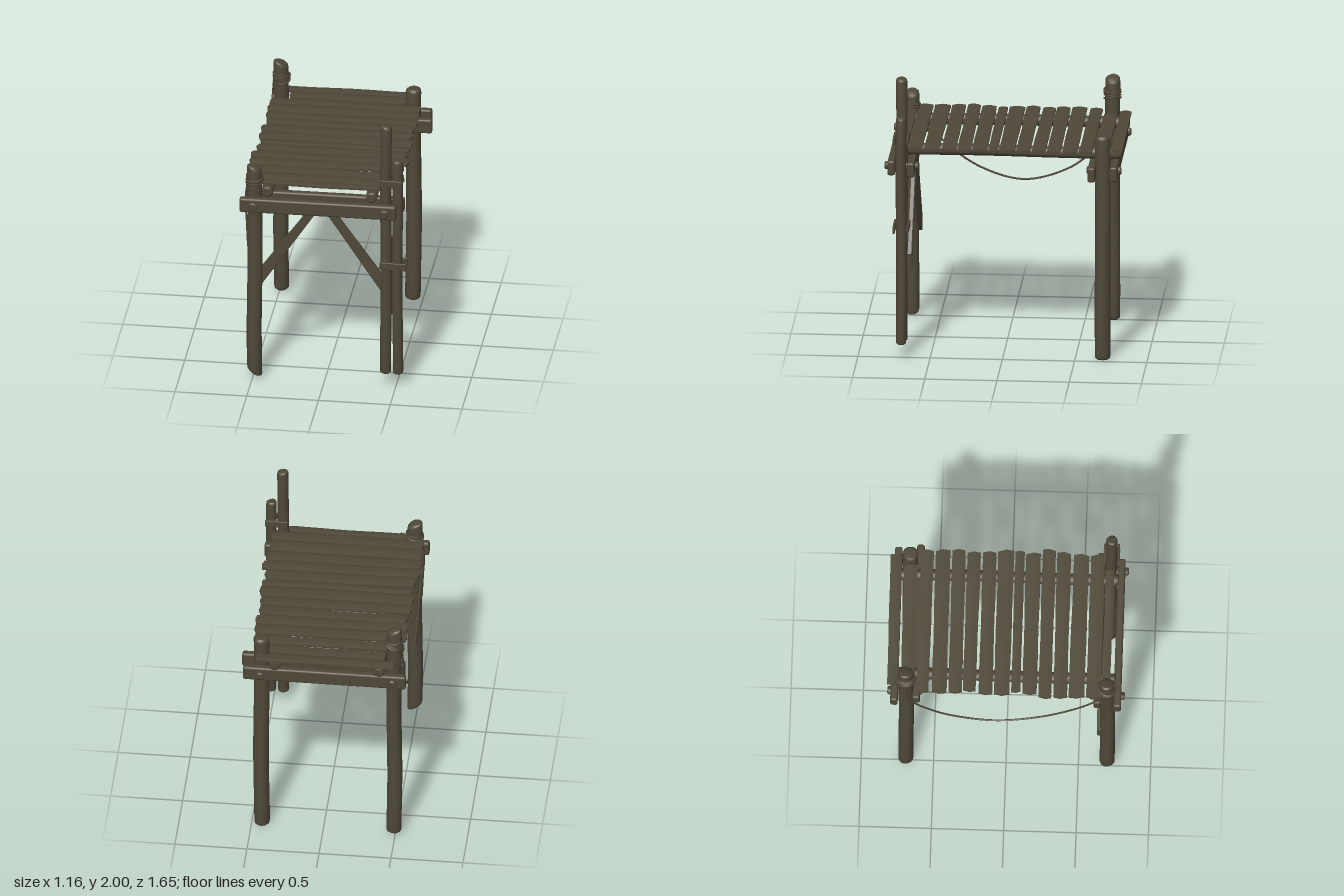
import * as THREE from 'three';
import { mergeVertices, toCreasedNormals } from 'three/addons/utils/BufferGeometryUtils.js';
import { RoundedBoxGeometry } from 'three/addons/geometries/RoundedBoxGeometry.js';

export function createModel() {
  const model = new THREE.Group();
  model.name = 'woodenPlatform';
  const wood = new THREE.MeshStandardMaterial({ color: 0x4f4839 });
  wood.name = 'weatheredWood';

  let seed = 7;
  const jitter = (a) => {
    seed = (seed * 16807) % 2147483647;
    return (seed / 2147483647 - 0.5) * 2 * a;
  };

  const add = (name, geometry, parent = model) => {
    const mesh = new THREE.Mesh(geometry, wood);
    mesh.name = name;
    parent.add(mesh);
    return mesh;
  };

  const group = (name) => {
    const g = new THREE.Group();
    g.name = name;
    model.add(g);
    return g;
  };

  const reshape = (geometry, rule, crease) => {
    geometry.deleteAttribute('uv');
    geometry.deleteAttribute('normal');
    const merged = mergeVertices(geometry, 1e-5);
    const p = merged.attributes.position;
    const v = new THREE.Vector3();
    for (let i = 0; i < p.count; i++) {
      v.fromBufferAttribute(p, i);
      rule(v);
      p.setXYZ(i, v.x, v.y, v.z);
    }
    return toCreasedNormals(merged, crease);
  };

  // Upright log with softened ends, a slight wander and optional slanted cuts
  const logGeometry = (r, h, topCut = 0, bottomCut = 0) => {
    const pts = [[0, 0], [r * 0.72, 0], [r * 0.95, r * 0.2], [r, r * 0.5]];
    for (let i = 1; i < 8; i++) pts.push([r, (h * i) / 8]);
    pts.push([r, h - r * 0.5], [r * 0.95, h - r * 0.2], [r * 0.72, h], [0, h]);
    const phase = jitter(3);
    return reshape(new THREE.LatheGeometry(pts.map(([x, y]) => new THREE.Vector2(x, y)), 18), (v) => {
      const y = v.y;
      const a = Math.atan2(v.z, v.x);
      const k = 1 + 0.03 * Math.sin(3 * a + y * 4 + phase);
      const side = v.x / r;
      if (y > h - r) v.y -= topCut * (side + 1) / 2;
      if (y < r) v.y += bottomCut * (1 - side) / 2;
      v.x = v.x * k + 0.003 * Math.sin(y * 5 + phase);
      v.z = v.z * k + 0.003 * Math.cos(y * 4 + phase);
    }, 0.7);
  };

  // Posts: x, z, radius, bottom, top, top cut, bottom cut
  [
    ['frontRightPost', -0.485, 0.70, 0.052, 0.01, 1.64, 0.03, 0.06],
    ['backRightPost', -0.49, -0.69, 0.052, 0.01, 1.77, 0.035, 0],
    ['backLeftPost', 0.432, -0.69, 0.054, 0, 1.61, 0, 0],
    ['frontLeftTallPole', 0.43, 0.70, 0.039, 0.1, 2, 0.01, 0],
    ['frontLeftShortPole', 0.51, 0.70, 0.036, 0.1, 1.735, 0.005, 0],
  ].forEach(([name, x, z, r, y0, y1, top, bottom]) => {
    add(name, logGeometry(r, y1 - y0, top, bottom)).position.set(x, y0, z);
  });

  // Round stringers under the deck
  [-0.395, 0.333].forEach((x) => {
    const s = add('deckStringer', logGeometry(0.04, 1.57));
    s.rotation.x = Math.PI / 2;
    s.position.set(x, 1.458, -0.815);
  });

  // Paired crossbeams clamping the posts: x start, x end, z
  [
    [-0.58, 0.51, 0.77],
    [-0.56, 0.55, 0.632],
    [-0.56, 0.572, -0.62],
    [-0.58, 0.55, -0.772],
  ].forEach(([x0, x1, z]) => {
    const beam = add('crossbeam', new RoundedBoxGeometry(x1 - x0, 0.105, 0.052, 2, 0.014));
    beam.position.set((x0 + x1) / 2, 1.363, z);
    beam.rotation.z = jitter(0.006);
  });

  // Through bolts with rounded heads
  for (const end of [1, -1]) {
    for (const x of [-0.485, 0.432]) {
      const bolt = add('beamBolt', logGeometry(0.029, 0.24));
      bolt.rotation.x = Math.PI / 2;
      bolt.position.set(x, 1.363, end > 0 ? 0.58 : -0.82);
    }
  }

  // Deck planks: z start, z end, x start, x end
  const deck = group('deck');
  [
    [-0.825, -0.745, -0.50, 0.46], [-0.73, -0.635, -0.43, 0.385],
    [-0.62, -0.53, -0.55, 0.50], [-0.515, -0.41, -0.555, 0.505],
    [-0.40, -0.305, -0.55, 0.51], [-0.298, -0.205, -0.535, 0.495],
    [-0.19, -0.093, -0.555, 0.50], [-0.085, 0.027, -0.555, 0.515],
    [0.035, 0.10, -0.53, 0.51], [0.11, 0.213, -0.545, 0.50],
    [0.223, 0.315, -0.57, 0.53], [0.325, 0.423, -0.565, 0.51],
    [0.435, 0.545, -0.56, 0.50], [0.555, 0.655, -0.56, 0.50],
    [0.66, 0.72, -0.43, 0.39],
  ].forEach(([z0, z1, x0, x1]) => {
    const w = z1 - z0;
    const len = x1 - x0;
    const phase = jitter(3);
    const skew = [jitter(0.12), jitter(0.12)];
    const taper = jitter(0.06);
    const geometry = reshape(new THREE.BoxGeometry(len, 0.018, w, 8, 1, 4), (v) => {
      const u = v.x / len;
      const t = v.z / w;
      if (Math.abs(u) > 0.49) {
        v.x += skew[u > 0 ? 1 : 0] * v.z - Math.sign(u) * 0.05 * w * (1 - Math.cos(t * 7));
      }
      v.z *= 0.97 + taper * u + 0.025 * Math.sin(u * 11 + phase);
      if (v.y > 0) v.y -= 0.02 * t * t;
      v.y += 0.002 * Math.sin(u * 8 + phase);
    }, 0.6);
    const plank = add('deckPlank', geometry, deck);
    plank.position.set((x0 + x1) / 2, 1.504, (z0 + z1) / 2);
    plank.rotation.set(jitter(0.03), jitter(0.006), jitter(0.003));
  });

  // Diagonal front braces with angled lower ends
  for (const side of [-1, 1]) {
    const outline = new THREE.Shape();
    [[0.0, 1.33], [0.055, 1.33], [0.482, 0.735], [0.475, 0.62], [0.45, 0.655]]
      .forEach(([x, y], i) => (i ? outline.lineTo(side * x, y) : outline.moveTo(side * x, y)));
    const brace = add('diagonalBrace', new THREE.ExtrudeGeometry(outline, {
      depth: 0.024, bevelThickness: 0.006, bevelSize: 0.004, bevelSegments: 1,
    }));
    brace.position.set(-0.027, 0, 0.634);
  }

  // Cleats clamping the two front poles together
  for (const [y, x0, x1] of [[1.57, 0.395, 0.55], [0.938, 0.39, 0.575]]) {
    for (const z of [0.653, 0.748]) {
      const cleat = add('poleCleat', new RoundedBoxGeometry(x1 - x0, 0.052, 0.016, 1, 0.004));
      cleat.position.set((x0 + x1) / 2, y, z);
      cleat.rotation.z = z < 0.7 ? 0.03 : -0.02;
      for (const x of [0.43, 0.51]) {
        const nail = add('cleatNail', new THREE.CylinderGeometry(0.007, 0.007, 0.022, 8));
        nail.rotation.x = Math.PI / 2;
        nail.position.set(x, y, z);
      }
    }
  }

  // Rope lashings around the two right-hand posts
  const lash = (x, y, z, tiltX, tiltZ) => {
    const ring = add('ropeLashing', new THREE.TorusGeometry(0.057, 0.007, 6, 24));
    ring.rotation.set(Math.PI / 2 + tiltX, tiltZ, 0);
    ring.position.set(x, y, z);
  };
  [1.605, 1.62, 1.635, 1.65, 1.66].forEach((y) => lash(-0.487, y, -0.69, jitter(0.2), jitter(0.25)));
  [1.50, 1.515, 1.53].forEach((y) => lash(-0.485, y, 0.70, jitter(0.15), jitter(0.3)));

  // Sagging rope and its loose end
  const rope = (name, pts) => add(name, new THREE.TubeGeometry(
    new THREE.CatmullRomCurve3(pts.map((p) => new THREE.Vector3(...p))), 60, 0.007, 6));
  rope('saggingRope', [
    [-0.53, 1.52, 0.675], [-0.545, 1.40, 0.61], [-0.545, 1.22, 0.45], [-0.547, 1.06, 0.21],
    [-0.55, 0.985, -0.08], [-0.552, 1.07, -0.38], [-0.553, 1.19, -0.54], [-0.553, 1.32, -0.645],
    [-0.55, 1.48, -0.685], [-0.54, 1.62, -0.69],
  ]);
  rope('looseRopeEnd', [
    [-0.535, 1.51, 0.69], [-0.552, 1.36, 0.68], [-0.545, 1.2, 0.675], [-0.535, 1.0, 0.68],
  ]);

  return model;
}
